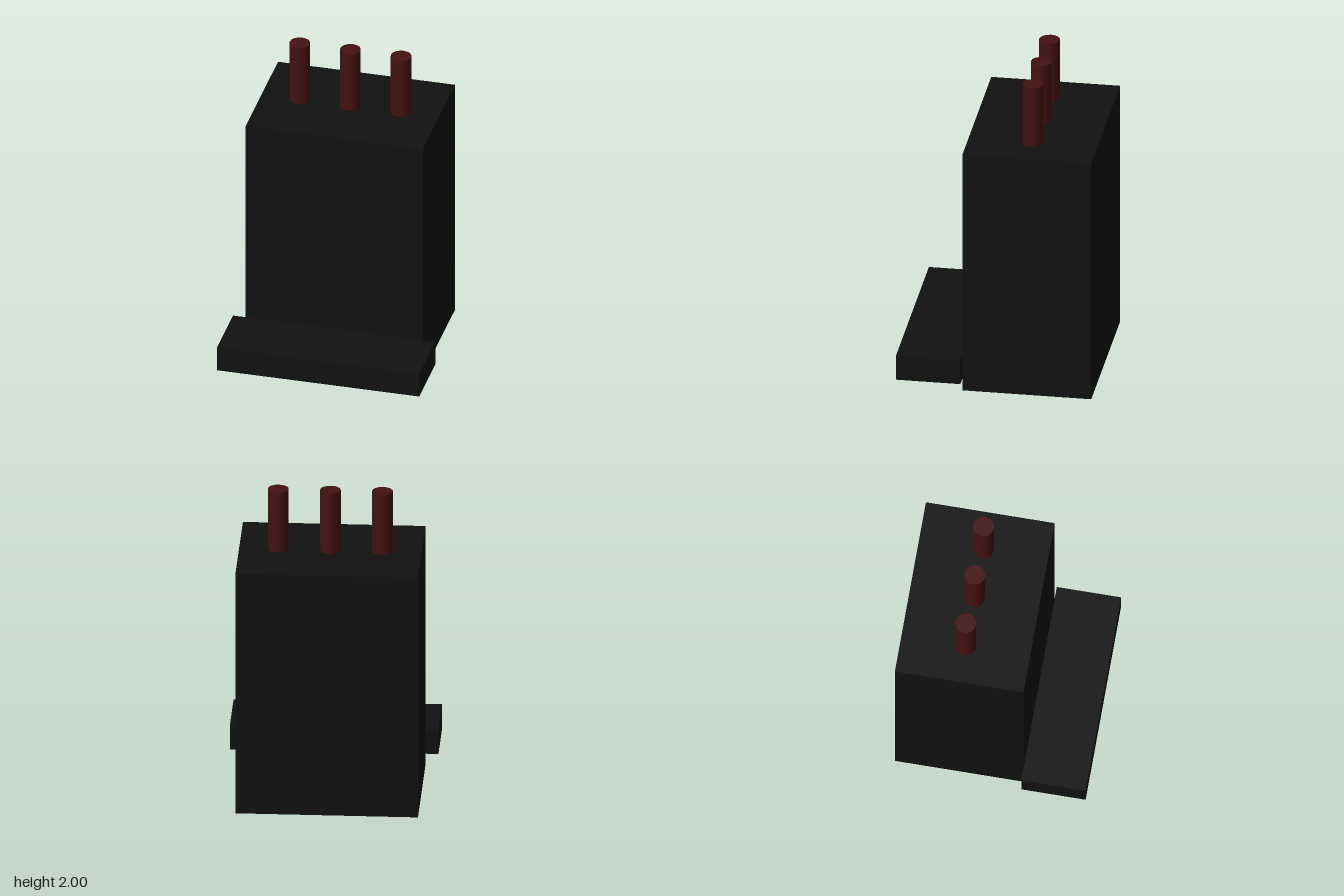
import * as THREE from 'three';

export function createModel() {
  const group = new THREE.Group();
  const black = new THREE.MeshStandardMaterial({ name: 'black', color: 0x111111 });
  const darkRed = new THREE.MeshStandardMaterial({ name: 'dark red', color: 0x441111 });

  const add = (name, geometry, material, x, y, z) => {
    const mesh = new THREE.Mesh(geometry, material);
    mesh.name = name;
    mesh.position.set(x, y, z);
    group.add(mesh);
  };

  // Tall block and the wider ledge against its front face
  add('body', new THREE.BoxGeometry(1.12, 1.6, 0.8), black, 0, 0.8, -0.2);
  add('frontLedge', new THREE.BoxGeometry(1.28, 0.16, 0.4), black, 0, 0.16, 0.4);

  // Row of three round pins standing on top
  const pin = new THREE.CylinderGeometry(0.064, 0.064, 0.4, 16);
  ['rightPin', 'middlePin', 'leftPin'].forEach((name, i) => {
    add(name, pin, darkRed, (i - 1) * 0.32, 1.8, -0.2);
  });

  return group;
}
